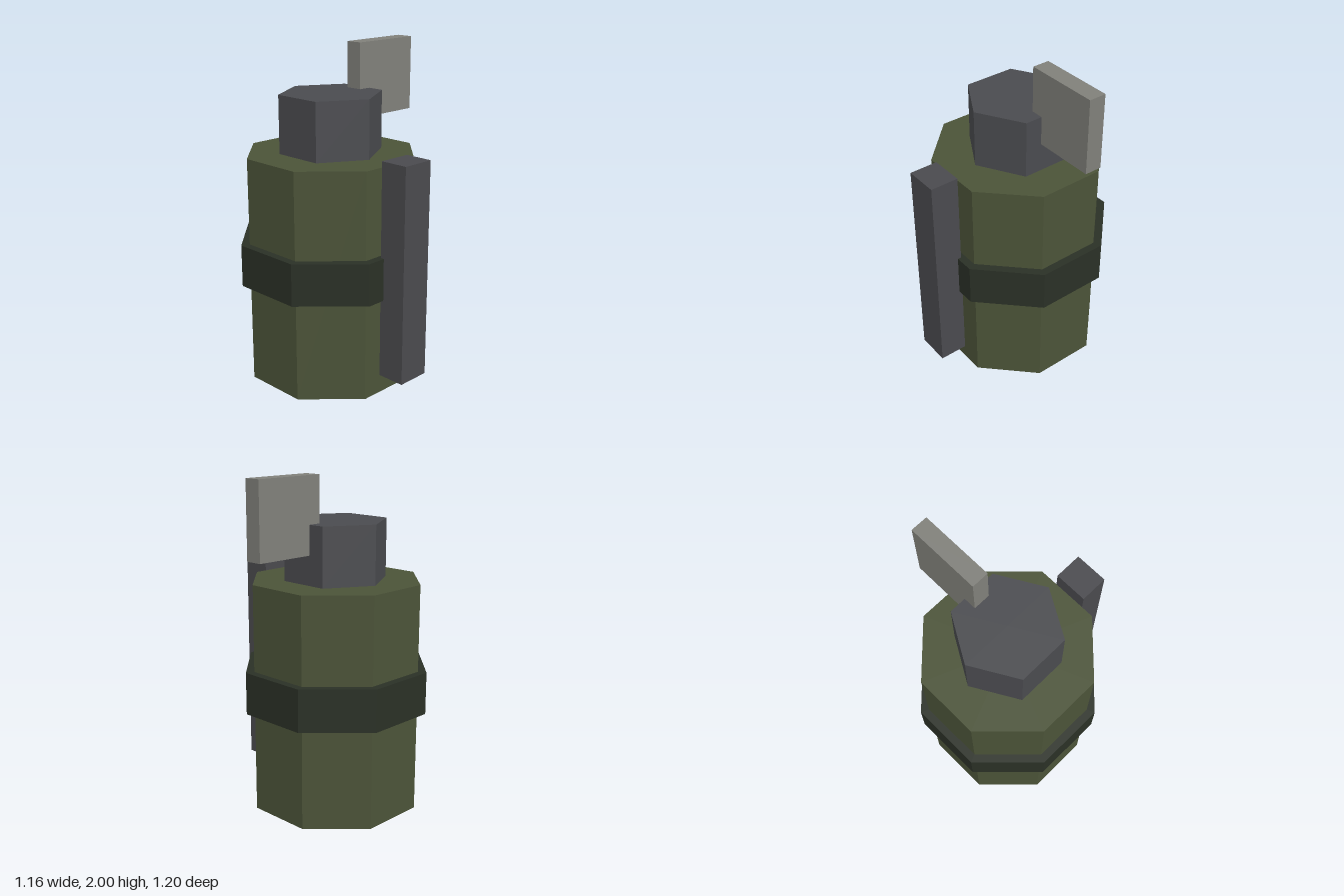
import * as THREE from 'three';

export function createModel() {
  const group = new THREE.Group();
  const cx = -0.058, cz = -0.075; // axis of the canister

  function add(name, geometry, color, x, y, z) {
    const material = new THREE.MeshStandardMaterial({ color, flatShading: true });
    const mesh = new THREE.Mesh(geometry, material);
    mesh.name = name;
    mesh.position.set(x, y, z);
    group.add(mesh);
    return mesh;
  }

  // Upright prism given by its apothem and its bottom and top heights
  function prism(name, sides, apothem, y0, y1, color) {
    const r = apothem / Math.cos(Math.PI / sides);
    const geometry = new THREE.CylinderGeometry(r, r, y1 - y0, sides);
    return add(name, geometry, color, cx, (y0 + y1) / 2, cz);
  }

  // Octagonal body and band, with a flat side to the front
  prism('body', 8, 0.477, 0, 1.38, 0x4b5338).rotation.y = Math.PI / 8;
  prism('band', 8, 0.525, 0.61, 0.864, 0x2a3026).rotation.y = Math.PI / 8;

  // Hexagonal cap, with a corner to the front
  prism('cap', 6, 0.268, 1.38, 1.727, 0x4a4b4f);

  // Upright safety lever in front of the body
  add('lever', new THREE.BoxGeometry(0.205, 1.293, 0.172), 0x4a4a4e, cx, 0.779, 0.514);

  // Square pull tab at the side of the cap
  add('pullTab', new THREE.BoxGeometry(0.448, 0.446, 0.103), 0x80807a, 0.357, 1.777, -0.076);

  return group;
}
